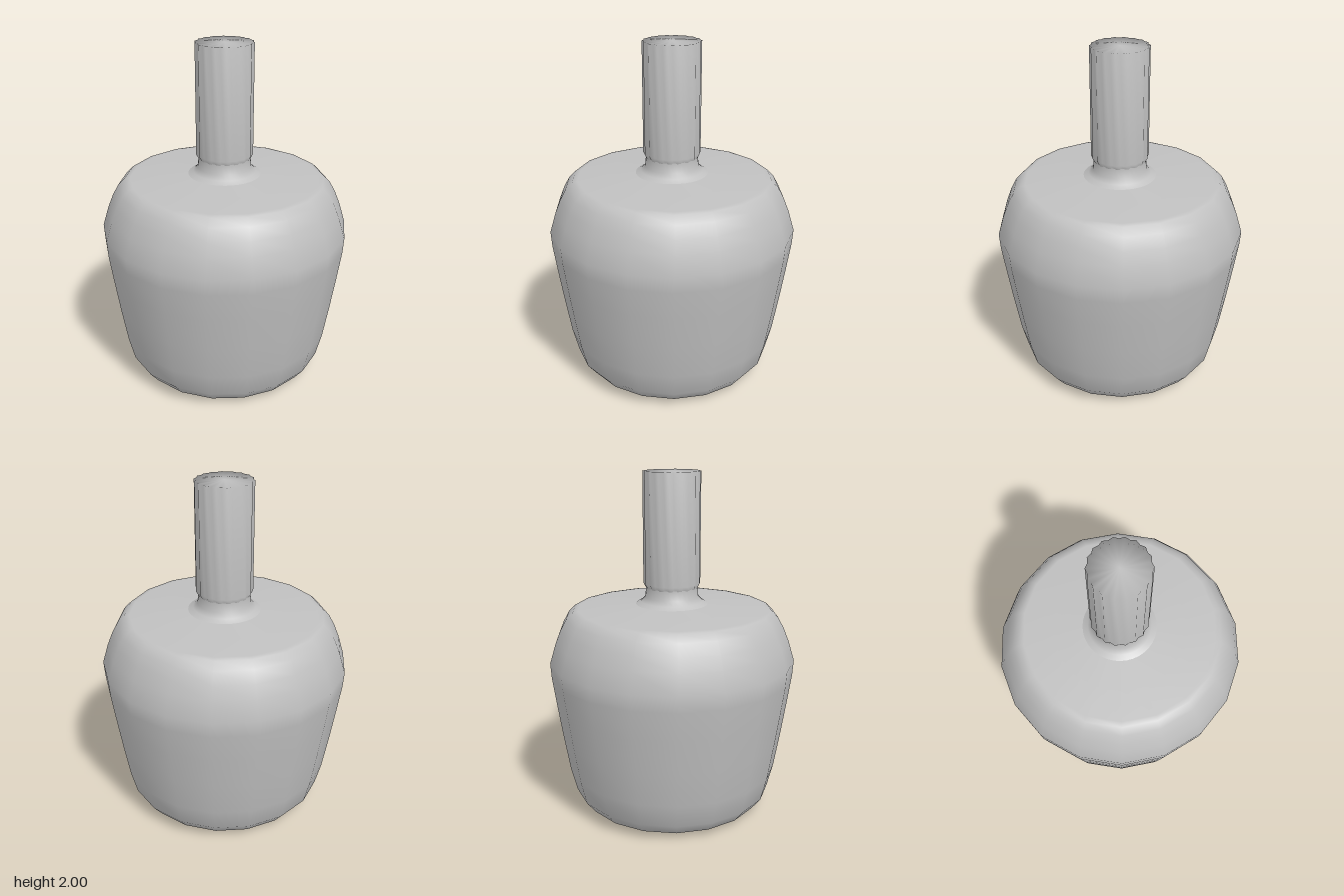
import * as THREE from 'three';
import { mergeVertices } from 'three/addons/utils/BufferGeometryUtils.js';

// Revolve a [radius, height] profile, optionally adjusting the radius per segment
function revolve(profile, segments, radiusRule) {
  const geo = new THREE.LatheGeometry(profile.map(([r, y]) => new THREE.Vector2(r, y)), segments);
  if (radiusRule) {
    const pos = geo.attributes.position;
    const n = profile.length;
    for (let i = 0; i < pos.count; i++) {
      const k = radiusRule(Math.floor(i / n) % segments, profile[i % n][1]);
      pos.setX(i, pos.getX(i) * k);
      pos.setZ(i, pos.getZ(i) * k);
    }
  }
  // Weld the seam so the smooth normals run all the way round
  geo.deleteAttribute('normal');
  geo.deleteAttribute('uv');
  const welded = mergeVertices(geo, 1e-4);
  welded.computeVertexNormals();
  return welded;
}

export function createModel() {
  const group = new THREE.Group();
  const grey = new THREE.MeshStandardMaterial({ color: 0xc0c0c0 });
  grey.name = 'grey';

  const add = (name, geo) => {
    const mesh = new THREE.Mesh(geo, grey);
    mesh.name = name;
    group.add(mesh);
  };

  // Rounded 18-sided body with a gently sloping shoulder
  add('body', revolve([
    [0, 0], [0.3, 0], [0.465, 0], [0.535, 0.04], [0.59, 0.11], [0.625, 0.25],
    [0.66, 0.46], [0.69, 0.66], [0.714, 0.83], [0.72, 0.92], [0.685, 1.035],
    [0.655, 1.11], [0.62, 1.175], [0.58, 1.215], [0.55, 1.22], [0.38, 1.232],
    [0.21, 1.244],
  ], 18));

  // Flared collar between the shoulder and the cap
  add('collar', revolve([
    [0.21, 1.244], [0.18, 1.26], [0.155, 1.285], [0.15, 1.34], [0.15, 1.37],
  ], 36));

  // Tall cap with 18 flutes and a closed top
  add('flutedCap', revolve([
    [0.148, 1.335], [0.165, 1.365], [0.165, 2], [0, 2],
  ], 36, (i, y) => (i % 2 === 0 && y > 1.35 ? 0.94 : 1)));

  return group;
}
